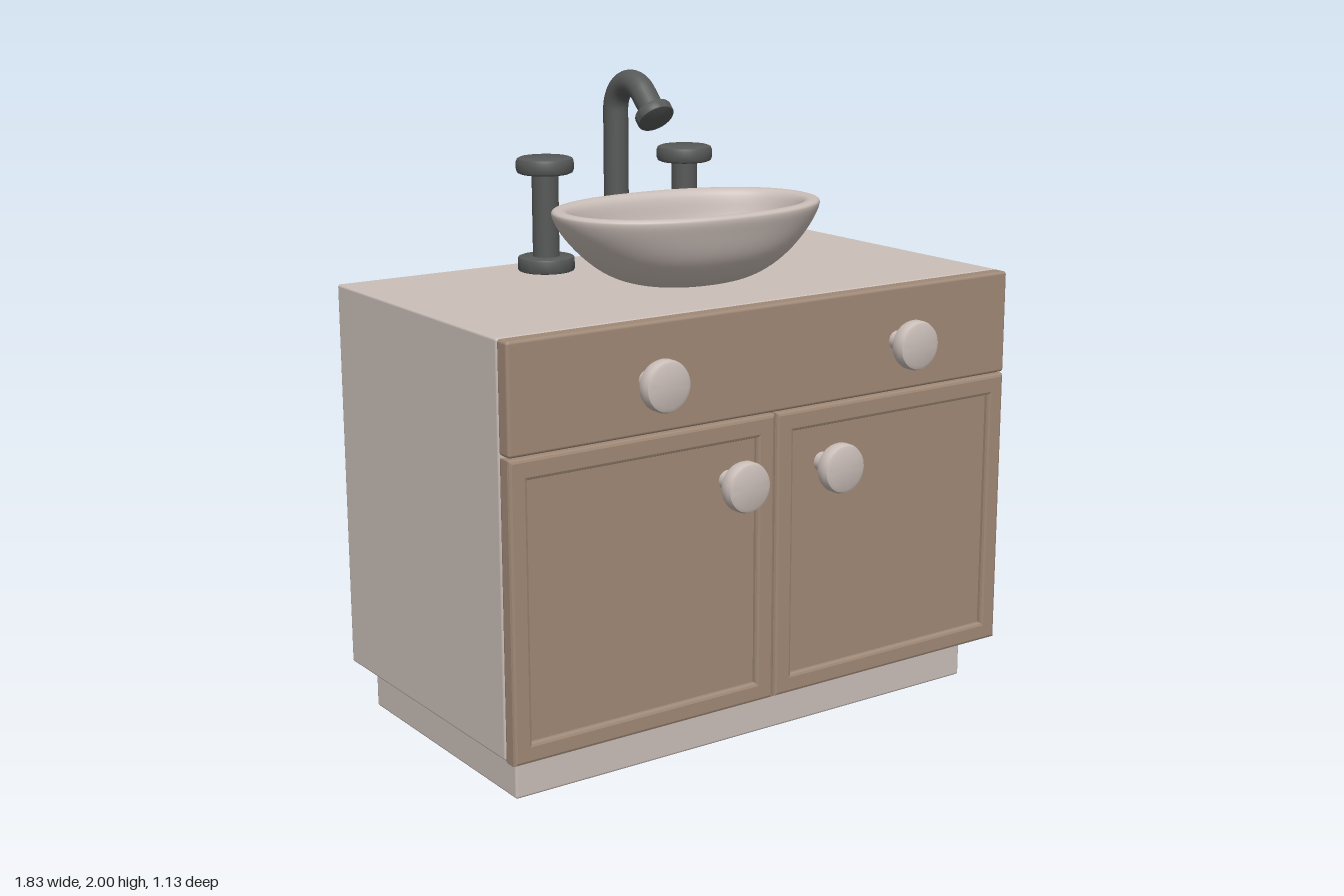
import * as THREE from 'three';
import { mergeVertices, toCreasedNormals } from 'three/addons/utils/BufferGeometryUtils.js';
import { RoundedBoxGeometry } from 'three/addons/geometries/RoundedBoxGeometry.js';

function material(name, color) {
  const m = new THREE.MeshStandardMaterial({ color });
  m.name = name;
  return m;
}

export function createModel() {
  const cream = material('cream', 0xcabeb8);
  const wood = material('wood', 0xa08977);
  const metal = material('dark metal', 0x575858);
  const model = new THREE.Group();
  model.name = 'washstand';

  const add = (parent, name, geometry, mat, x = 0, y = 0, z = 0) => {
    const mesh = new THREE.Mesh(geometry, mat);
    mesh.name = name;
    mesh.position.set(x, y, z);
    parent.add(mesh);
    return mesh;
  };
  const group = (name, x = 0, y = 0, z = 0) => {
    const g = new THREE.Group();
    g.name = name;
    g.position.set(x, y, z);
    model.add(g);
    return g;
  };
  // Box given by its lower and upper corners, with softened edges
  const box = (parent, name, mat, [x0, y0, z0], [x1, y1, z1], r = 0.008) =>
    add(parent, name, new RoundedBoxGeometry(x1 - x0, y1 - y0, z1 - z0, 2, r), mat,
      (x0 + x1) / 2, (y0 + y1) / 2, (z0 + z1) / 2);
  // Disc standing on y = 0 with bevelled rims
  const disc = (r, h, b) => toCreasedNormals(new THREE.LatheGeometry([
    [0, 0], [r - b, 0], [r - b * 0.3, b * 0.3], [r, b],
    [r, h - b], [r - b * 0.3, h - b * 0.3], [r - b, h], [0, h],
  ].map(([x, y]) => new THREE.Vector2(x, y)), 40), 0.6);

  // Cabinet carcass, plinth and drawer front
  box(model, 'cabinet', cream, [-0.915, 0.15, -0.565], [0.915, 1.376, 0.4]);
  box(model, 'plinth', cream, [-0.855, 0, -0.52], [0.855, 0.16, 0.355]);
  box(model, 'drawerFront', wood, [-0.915, 1.05, 0.4], [0.915, 1.376, 0.455], 0.01);

  // Doors: a bevelled frame around a recessed panel
  const rect = (Type, x0, y0, x1, y1) => new Type([
    [x0, y0], [x1, y0], [x1, y1], [x0, y1],
  ].map(([x, y]) => new THREE.Vector2(x, y)));
  for (const side of [-1, 1]) {
    const door = group(side > 0 ? 'leftDoor' : 'rightDoor');
    const span = (a, b) => [Math.min(side * a, side * b), Math.max(side * a, side * b)];
    const [x0, x1] = span(0.003, 0.915);
    const [p0, p1] = span(0.067, 0.855);
    const frame = rect(THREE.Shape, x0, 0.15, x1, 1.044);
    frame.holes.push(rect(THREE.Path, p0, 0.21, p1, 0.98));
    add(door, 'doorFrame', new THREE.ExtrudeGeometry(frame, {
      depth: 0.035, bevelThickness: 0.01, bevelSize: 0.01, bevelOffset: -0.01, bevelSegments: 2,
    }), wood, 0, 0, 0.41);
    add(door, 'doorPanel', new THREE.BoxGeometry(p1 - p0 + 0.01, 0.78, 0.035), wood,
      (p0 + p1) / 2, 0.595, 0.4185);
  }

  // Knobs on the drawer and doors
  for (const [x, y] of [[-0.46, 1.21], [0.46, 1.21], [-0.177, 0.87], [0.177, 0.87]]) {
    const knob = group('knob', x, y, 0.45);
    knob.rotation.x = Math.PI / 2;
    add(knob, 'knobStem', new THREE.CylinderGeometry(0.03, 0.03, 0.08, 24), cream, 0, 0.04, 0);
    add(knob, 'knobCap', disc(0.076, 0.052, 0.015), cream, 0, 0.066, 0);
  }

  // Oval basin: profile of half width, height and half depth, from underside over the rim to floor
  const profile = new THREE.CatmullRomCurve3([
    [0, 1.378, 0], [0.17, 1.38, 0.125], [0.27, 1.413, 0.19], [0.36, 1.48, 0.25],
    [0.43, 1.56, 0.281], [0.449, 1.606, 0.292], [0.442, 1.615, 0.285], [0.41, 1.613, 0.25],
    [0.395, 1.595, 0.235], [0.37, 1.52, 0.218], [0.31, 1.45, 0.18], [0.2, 1.422, 0.12], [0, 1.418, 0],
  ].map((p) => new THREE.Vector3(...p)), false, 'centripetal').getPoints(60);
  profile[0].x = profile[60].x = 0;
  let bowl = new THREE.LatheGeometry(profile.map((p) => new THREE.Vector2(p.x, p.y)), 64);
  const pos = bowl.attributes.position;
  const soften = (v) => Math.sign(v) * Math.abs(v) ** 0.92;
  for (let i = 0; i < pos.count; i++) {
    const p = profile[i % profile.length];
    const angle = Math.floor(i / profile.length) / 64 * Math.PI * 2;
    pos.setX(i, p.x * soften(Math.sin(angle)));
    pos.setZ(i, p.z * soften(Math.cos(angle)));
  }
  bowl.deleteAttribute('normal');
  bowl.deleteAttribute('uv');
  bowl = mergeVertices(bowl, 1e-5);
  bowl.computeVertexNormals();
  add(model, 'basin', bowl, cream);
  add(model, 'drain', disc(0.045, 0.012, 0.003), cream, 0, 1.417, -0.06);

  // Spout: upright pipe, bend and straight tip
  const faucet = group('faucet', 0, 0, -0.4);
  add(faucet, 'faucetBase', disc(0.09, 0.047, 0.008), metal, 0, 1.376, 0);
  const path = new THREE.CurvePath();
  const R = 0.092, cy = 1.868;
  const bend = [];
  for (let i = 0; i <= 18; i++) {
    const a = Math.PI * (1 - 0.75 * i / 18);
    bend.push(new THREE.Vector3(0, cy + R * Math.sin(a), R + R * Math.cos(a)));
  }
  path.add(new THREE.LineCurve3(new THREE.Vector3(0, 1.4, 0), bend[0]));
  path.add(new THREE.CatmullRomCurve3(bend));
  path.add(new THREE.LineCurve3(bend[18], new THREE.Vector3(0, 1.875, 0.215)));
  add(faucet, 'spoutPipe', new THREE.TubeGeometry(path, 80, 0.04, 24), metal);
  const nozzle = add(faucet, 'nozzle', disc(0.06, 0.034, 0.006), metal, 0, 1.881, 0.207);
  nozzle.rotation.x = Math.PI * 0.75;

  // Tap handles either side of the spout
  for (const side of [-1, 1]) {
    const tap = group(side > 0 ? 'leftTap' : 'rightTap', side * 0.267, 1.376, -0.4);
    add(tap, 'tapBase', disc(0.09, 0.047, 0.008), metal);
    add(tap, 'tapStem', new THREE.CylinderGeometry(0.042, 0.042, 0.3, 24), metal, 0, 0.165, 0);
    add(tap, 'tapHandle', disc(0.091, 0.052, 0.014), metal, 0, 0.308, 0);
  }
  return model;
}
